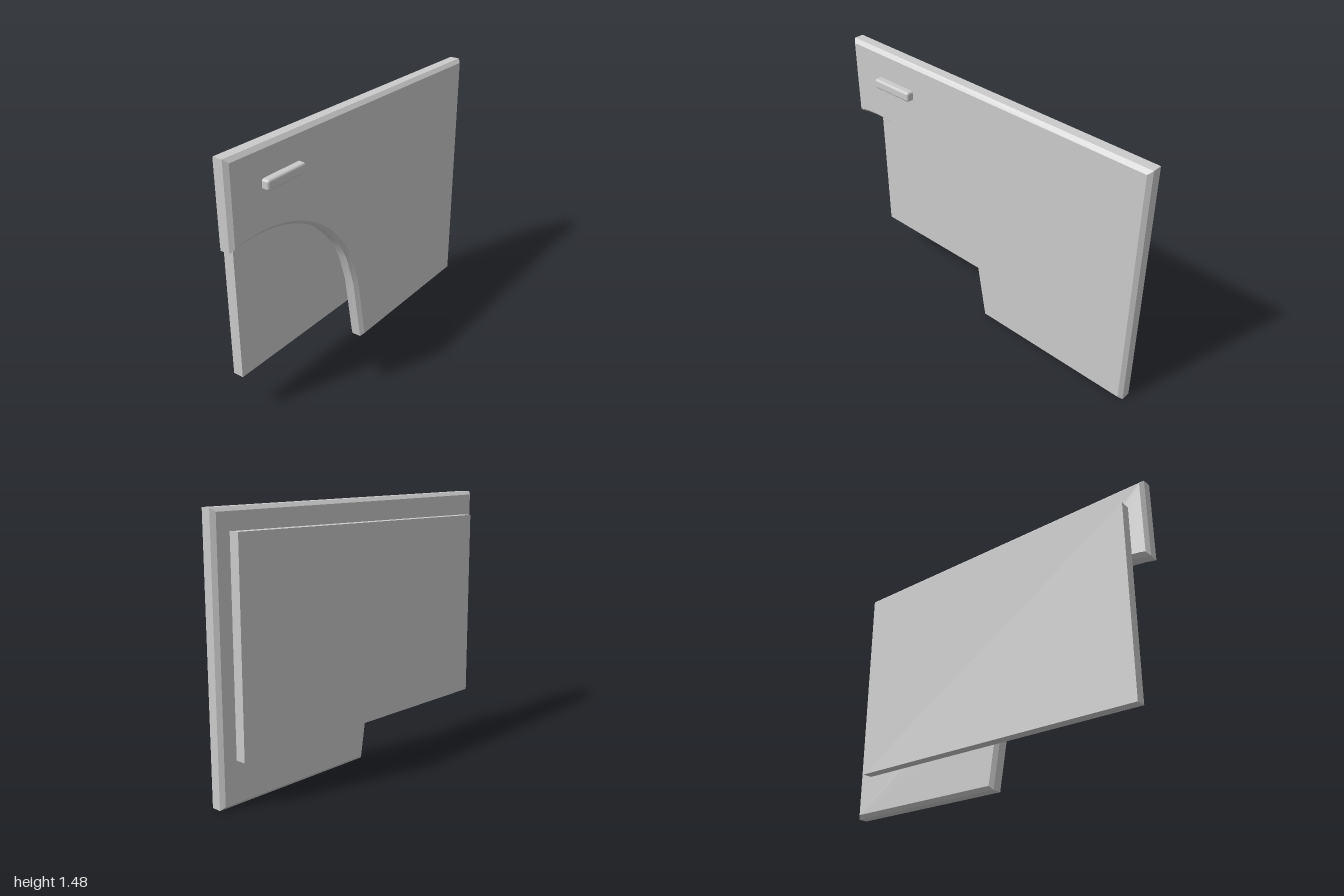
import * as THREE from 'three';
import { toCreasedNormals } from 'three/addons/utils/BufferGeometryUtils.js';
import { RoundedBoxGeometry } from 'three/addons/geometries/RoundedBoxGeometry.js';

const material = new THREE.MeshStandardMaterial({ color: 0xcccccc });

function addPart(group, name, geometry, x = 0, y = 0, z = 0) {
  const mesh = new THREE.Mesh(geometry, material);
  mesh.name = name;
  mesh.position.set(x, y, z);
  group.add(mesh);
}

// Side outline with a wheel arch cut from the lower front corner
function panelOutline() {
  const points = [[1, 1.475], [-1, 1.445], [-1, 0], [0, 0]];
  const arch = { z: 0.83, y: 0.258, radius: 0.777 };
  const angles = [10.2];
  const steps = 20;
  for (let i = 0; i <= steps; i++) angles.push(25.7 + (102.6 - 25.7) * i / steps);
  for (const degrees of angles) {
    const a = THREE.MathUtils.degToRad(degrees);
    points.push([
      Math.min(1, arch.z - arch.radius * Math.cos(a)),
      arch.y + arch.radius * Math.sin(a),
    ]);
  }
  points[points.length - 1][0] = 1;
  // Shape x runs towards the back, so it turns onto -z
  return new THREE.Shape(points.map(([z, y]) => new THREE.Vector2(-z, y)));
}

export function createModel() {
  const group = new THREE.Group();
  group.name = 'doorPanel';

  // Outer skin with chamfered edges
  const skin = new THREE.ExtrudeGeometry(panelOutline(), {
    depth: 0.055,
    bevelEnabled: true,
    bevelThickness: 0.02,
    bevelSize: 0.02,
    bevelOffset: -0.02,
    bevelSegments: 1,
  });
  skin.rotateY(Math.PI / 2);
  skin.translate(-0.02, 0, 0);
  addPart(group, 'outerPanel', toCreasedNormals(skin, 0.5));

  // Flat lining on the inner side
  addPart(group, 'innerLining', new THREE.BoxGeometry(0.06, 1.1, 1.81), -0.07, 1.335 - 0.55, 0);

  // Rounded pull handle near the front edge
  addPart(group, 'handle', new RoundedBoxGeometry(0.06, 0.056, 0.27, 4, 0.014), 0.065, 1.284, 0.65);

  return group;
}
